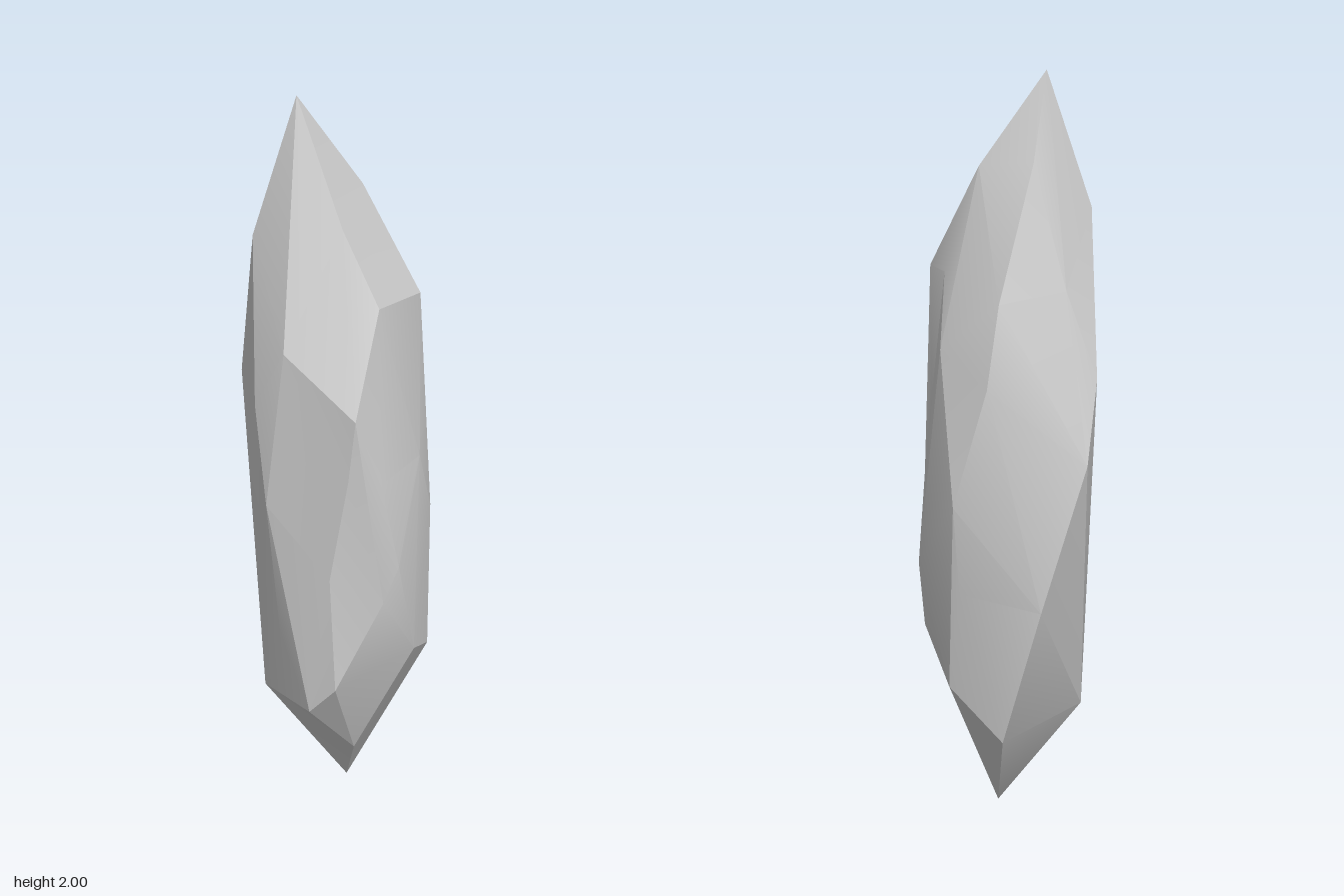
import * as THREE from 'three';
import { ConvexGeometry } from 'three/addons/geometries/ConvexGeometry.js';
import { toCreasedNormals } from 'three/addons/utils/BufferGeometryUtils.js';

// Corners of the shard as [x, y, z], grouped in irregular rings from top to bottom
const rings = {
  tip: [[-0.09, 2, 0]],
  crown: [[0.06, 1.75, -0.1], [0.23, 1.48, -0.055], [0.18, 1.51, 0.18], [0.065, 1.69, 0.115],
    [-0.19, 1.64, 0.07], [-0.1, 1.76, -0.1]],
  shoulder: [[0.15, 1.24, 0.295], [-0.06, 1.38, 0.23], [-0.155, 1.21, 0.18], [-0.275, 1.2, -0.08],
    [-0.195, 1.43, -0.1], [-0.065, 1.4, -0.235], [0.125, 1.27, -0.2], [0.15, 1.47, -0.125]],
  waist: [[0.27, 1.08, 0.09], [0.205, 1.05, 0.24], [0.13, 1.07, 0.29], [-0.11, 0.95, 0.235],
    [-0.28, 0.98, -0.15], [-0.045, 1.18, -0.265], [0.21, 1.12, -0.09]],
  belly: [[0.28, 0.9, 0], [0.25, 0.81, 0.22], [0.22, 0.72, 0.265], [0.08, 0.78, 0.29],
    [0.035, 0.87, -0.305], [0.215, 0.68, -0.16]],
  skirt: [[0.275, 0.47, -0.015], [0.27, 0.52, 0.12], [0.1, 0.46, 0.305], [-0.08, 0.56, 0.215],
    [-0.18, 0.59, -0.22], [0.04, 0.63, -0.26]],
  foot: [[0.02, 0.37, 0.28], [0.105, 0.19, 0.13], [-0.185, 0.29, 0.025], [-0.06, 0.22, -0.205],
    [0.095, 0.36, -0.215]],
  point: [[0.04, 0, -0.03]],
};

// Rounds a corner towards a ball, so that shallow dents also get their facets
function inflate(p) {
  const q = new THREE.Vector3(p.x, (p.y - 1) * 0.3, p.z);
  return q.multiplyScalar(Math.pow(q.length(), -0.7));
}

// Facets are found on the rounded corners, then every corner is moved back
function shardGeometry() {
  const corners = Object.values(rings).flat().map((c) => new THREE.Vector3(...c));
  const round = corners.map(inflate);
  const geometry = new ConvexGeometry(round);
  const pos = geometry.attributes.position;
  const v = new THREE.Vector3();
  for (let i = 0; i < pos.count; i++) {
    v.fromBufferAttribute(pos, i);
    let best = 0;
    round.forEach((r, k) => {
      if (r.distanceToSquared(v) < round[best].distanceToSquared(v)) best = k;
    });
    pos.setXYZ(i, corners[best].x, corners[best].y, corners[best].z);
  }
  return toCreasedNormals(geometry, 0.35);
}

export function createModel() {
  const group = new THREE.Group();
  group.name = 'rockShard';
  const shard = new THREE.Mesh(shardGeometry(), new THREE.MeshStandardMaterial({ color: 0xcccccc }));
  shard.name = 'shard';
  group.add(shard);
  return group;
}
